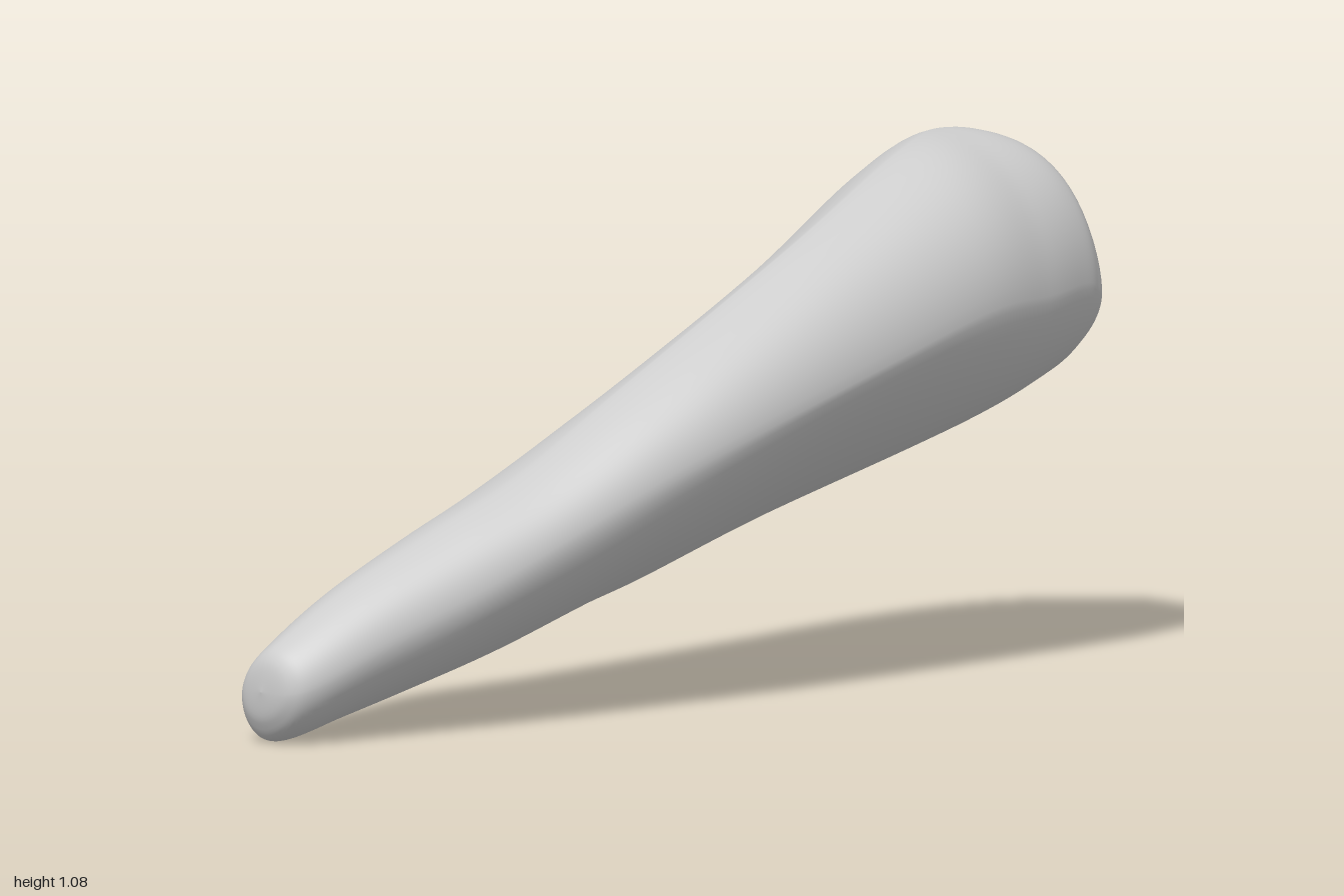
import * as THREE from 'three';

// Cross-sections from the narrow tip to the broad end:
// [z, left x, right x, bottom y, top y, ridge x, left-edge y, keel x, right-edge y]
const SECTIONS = [
  [1.0, -0.17, -0.17, 0.11, 0.11, -0.17, 0.11, -0.17, 0.11],
  [0.988, -0.23, -0.105, 0.045, 0.175, -0.165, 0.10, -0.18, 0.11],
  [0.94, -0.255, -0.06, 0.003, 0.22, -0.15, 0.09, -0.19, 0.13],
  [0.8, -0.28, 0.0, 0.03, 0.31, -0.11, 0.13, -0.19, 0.20],
  [0.6, -0.32, 0.08, 0.07, 0.415, -0.05, 0.17, -0.2, 0.29],
  [0.42, -0.35, 0.145, 0.11, 0.505, 0.0, 0.22, -0.2, 0.38],
  [0.2, -0.32, 0.22, 0.17, 0.645, 0.05, 0.31, -0.19, 0.49],
  [0.0, -0.305, 0.27, 0.22, 0.76, 0.08, 0.4, -0.16, 0.57],
  [-0.3, -0.295, 0.315, 0.32, 0.915, 0.1, 0.51, -0.09, 0.67],
  [-0.6, -0.28, 0.345, 0.43, 1.05, 0.08, 0.65, 0.02, 0.76],
  [-0.78, -0.2, 0.335, 0.505, 1.08, 0.04, 0.79, 0.1, 0.77],
  [-0.9, -0.06, 0.315, 0.565, 1.055, 0.09, 0.81, 0.15, 0.78],
  [-0.955, 0.01, 0.3, 0.605, 0.985, 0.14, 0.79, 0.18, 0.77],
  [-0.99, 0.09, 0.275, 0.655, 0.85, 0.18, 0.75, 0.19, 0.74],
  [-1.0, 0.19, 0.19, 0.73, 0.73, 0.19, 0.73, 0.19, 0.73],
];
const SIDES = 64;
const STEPS = 8;

// Smooth interpolation between neighbouring sections
function sectionAt(i, t) {
  const row = (k) => SECTIONS[Math.min(Math.max(k, 0), SECTIONS.length - 1)];
  const [p, a, b, n] = [row(i - 1), row(i), row(i + 1), row(i + 2)];
  return a.map((v, k) => {
    const m0 = (b[k] - p[k]) / 2, m1 = (n[k] - v) / 2;
    const t2 = t * t, t3 = t2 * t;
    return (2 * t3 - 3 * t2 + 1) * v + (t3 - 2 * t2 + t) * m0
      + (3 * t2 - 2 * t3) * b[k] + (t3 - t2) * m1;
  });
}

const bump = (z, centre, width) => Math.exp(-(((z - centre) / width) ** 2));

// Four superellipse quadrants meeting at the ridge, keel and side edges
function sectionPoint([z, left, right, bottom, top, ridgeX, leftY, keelX, rightY], angle) {
  const c = Math.cos(angle), s = Math.sin(angle);
  const upper = s >= 0, onRight = c >= 0;
  const cx = upper ? ridgeX : keelX;
  const cy = onRight ? rightY : leftY;
  let power = upper ? 1.0 : 0.93;
  if (upper && !onRight) power = 1.1 + 0.55 * bump(z, -0.1, 0.65); // hollowed left slope
  if (!upper && onRight) power = 1.15 + 0.23 * bump(z, -0.25, 0.45); // flattened underside
  const u = Math.pow(Math.abs(c), power), v = Math.pow(Math.abs(s), power);
  return [
    cx + u * ((onRight ? right : left) - cx),
    cy + v * ((upper ? top : bottom) - cy),
    THREE.MathUtils.clamp(z, -1, 1),
  ];
}

function buildBody() {
  const positions = [], indices = [];
  const rings = (SECTIONS.length - 1) * STEPS;
  for (let r = 0; r <= rings; r++) {
    const i = Math.min(Math.floor(r / STEPS), SECTIONS.length - 2);
    const section = sectionAt(i, r / STEPS - i);
    for (let j = 0; j < SIDES; j++) {
      positions.push(...sectionPoint(section, (j / SIDES) * Math.PI * 2));
    }
  }
  for (let r = 0; r < rings; r++) {
    for (let j = 0; j < SIDES; j++) {
      const k = (j + 1) % SIDES;
      const a = r * SIDES + j, b = r * SIDES + k;
      const c = a + SIDES, d = b + SIDES;
      indices.push(a, c, b, b, c, d);
    }
  }
  const geometry = new THREE.BufferGeometry();
  geometry.setAttribute('position', new THREE.Float32BufferAttribute(positions, 3));
  geometry.setIndex(indices);
  geometry.computeVertexNormals();
  return geometry;
}

export function createModel() {
  const group = new THREE.Group();
  group.name = 'taperedStone';
  const grey = new THREE.MeshStandardMaterial({ color: 0xcccccc });
  grey.name = 'plain grey';
  const body = new THREE.Mesh(buildBody(), grey);
  body.name = 'body';
  group.add(body);
  return group;
}
